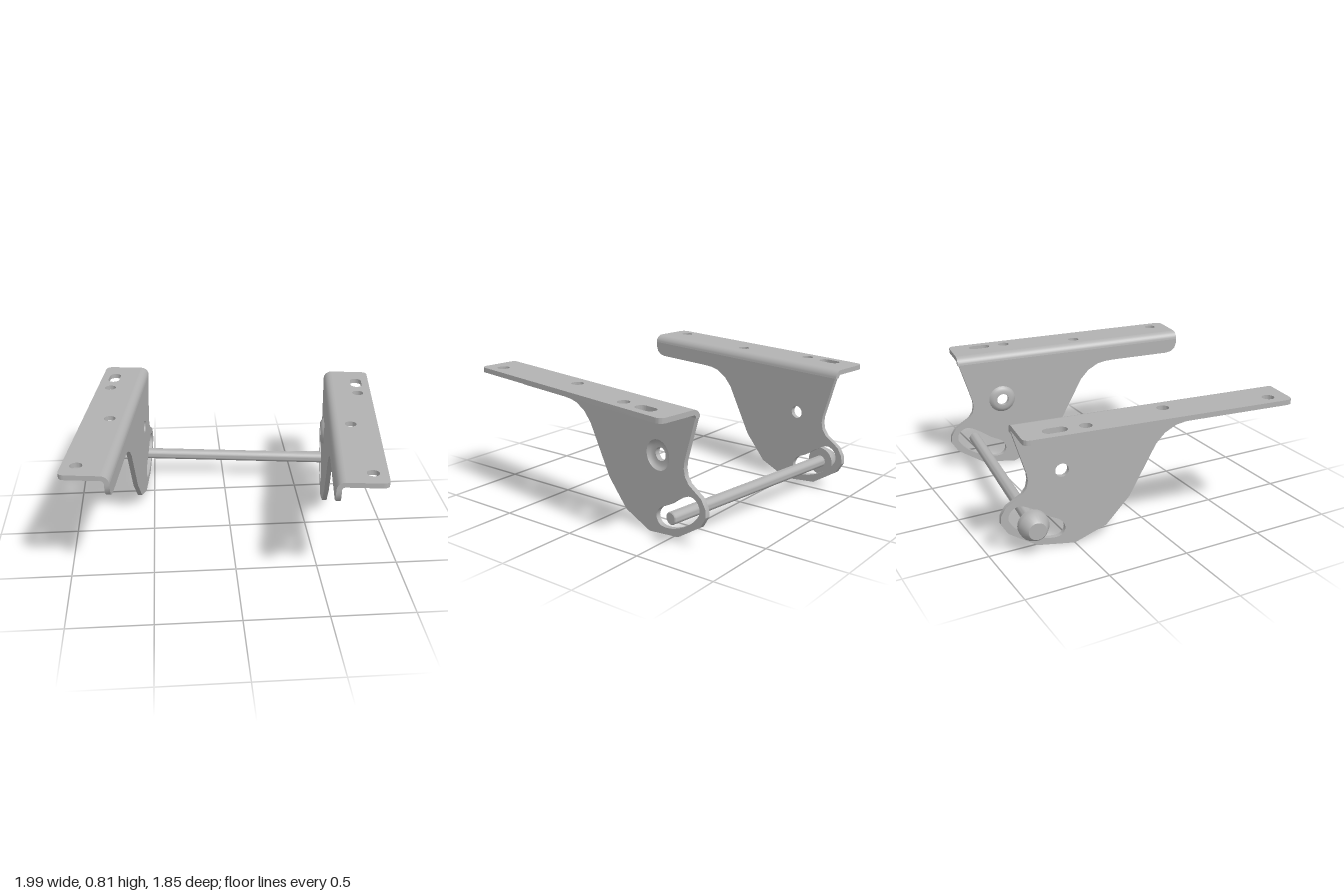
import * as THREE from 'three';
import { toCreasedNormals } from 'three/addons/utils/BufferGeometryUtils.js';

const steel = new THREE.MeshStandardMaterial({ color: 0xb2b2b2 });
steel.name = 'brushed steel';

const T = 0.03;        // sheet thickness
const INNER = 0.615;   // inner face of the upright plates
const TOP = 0.8;       // top of the flanges
const R = 0.05;        // outer bend radius
const FRONT = 0.822, BACK = -0.775;
const BOSS = [-0.488, 0.479]; // pivot hole (z, y)

const v2 = (list) => list.map(([a, b]) => new THREE.Vector2(a, b));

function mesh(name, geometry) {
  const m = new THREE.Mesh(toCreasedNormals(geometry, 0.6), steel);
  m.name = name;
  return m;
}

function extrude(shape, depth) {
  return new THREE.ExtrudeGeometry(shape, { depth, bevelEnabled: false, curveSegments: 16 });
}

function circle(x, y, r) {
  const p = new THREE.Path();
  p.absarc(x, y, r, 0, Math.PI * 2);
  return p;
}

// Upright plate outline (z, y), starting at the top front corner
const plateOutline = [
  [FRONT, TOP - R], [FRONT, 0.725], [0.808, 0.685], [0.782, 0.664], [0.745, 0.656],
  [0.33, 0.656], [0.27, 0.653], [0.213, 0.642], [0.142, 0.603], [0.087, 0.544],
  [-0.08, 0.241], [-0.226, 0.083], [-0.422, 0.006], [-0.649, 0.037], [-0.815, 0.145],
  [-0.856, 0.212], [-0.851, 0.26], [-0.82, 0.31], [-0.725, 0.368], [-0.698, 0.405],
  [-0.688, 0.45], [-0.692, 0.49], [-0.768, TOP - R],
];

// Curved adjustment slot (z, y)
const slotPoints = [
  [-0.478, 0.118], [-0.505, 0.17], [-0.579, 0.21], [-0.669, 0.272], [-0.745, 0.303],
  [-0.795, 0.278], [-0.81, 0.228], [-0.77, 0.166], [-0.669, 0.098], [-0.569, 0.067], [-0.503, 0.074],
];

function uprightPlate(side) {
  const shape = new THREE.Shape(v2(plateOutline));
  const curve = new THREE.CatmullRomCurve3(
    slotPoints.map(([z, y]) => new THREE.Vector3(z, y, 0)), true);
  const slot = curve.getPoints(44).slice(0, -1).map((p) => new THREE.Vector2(p.x, p.y));
  shape.holes.push(new THREE.Path(slot));
  shape.holes.push(circle(...BOSS, side > 0 ? 0.09 : 0.04));
  const g = extrude(shape, T).rotateY(-Math.PI / 2);
  g.translate(side > 0 ? INNER + T : -INNER, 0, 0);
  return mesh('uprightPlate', g);
}

function flange(side) {
  const a = INNER + R, b = 0.905, c = 0.045;
  // Corners rounded on the outer edge only; shape y is -z
  const s = new THREE.Shape();
  s.moveTo(side * a, -FRONT);
  s.lineTo(side * (b - c), -FRONT);
  s.quadraticCurveTo(side * b, -FRONT, side * b, -FRONT + c);
  s.lineTo(side * b, -BACK - c);
  s.quadraticCurveTo(side * b, -BACK, side * (b - c), -BACK);
  s.lineTo(side * a, -BACK);
  s.closePath();
  for (const [x, z] of [[0.82, -0.405], [0.74, 0.08], [0.82, 0.706]]) {
    s.holes.push(circle(side * x, -z, 0.036));
  }
  // Elongated mounting slot
  const slot = new THREE.Path(), sx = side * 0.82, r = 0.037;
  slot.absarc(sx, 0.578 + 0.033, r, 0, Math.PI);
  slot.absarc(sx, 0.578 - 0.033, r, Math.PI, Math.PI * 2);
  slot.closePath();
  s.holes.push(slot);
  const g = extrude(s, T).rotateX(-Math.PI / 2).translate(0, TOP - T, 0);
  return mesh('mountingFlange', g);
}

// Quarter-round fold joining flange and plate
function fold(side) {
  const n = 8, pts = [];
  const arc = (r, i) => {
    const a = Math.PI / 2 + (Math.PI / 2) * (i / n);
    pts.push(new THREE.Vector2(side * (INNER + R + r * Math.cos(a)), TOP - R + r * Math.sin(a)));
  };
  for (let i = 0; i <= n; i++) arc(R, i);
  for (let i = n; i >= 0; i--) arc(R - T, i);
  const g = extrude(new THREE.Shape(pts), FRONT - BACK).translate(0, 0, BACK);
  return mesh('fold', g);
}

// Pressed dish around the pivot hole, bulging inward
function dish() {
  const profile = v2([
    [0.04, -0.022], [0.062, -0.022], [0.078, -0.014], [0.09, 0], [0.09, T],
    [0.078, 0.015], [0.062, 0.008], [0.04, 0.008], [0.04, -0.022],
  ]);
  const g = new THREE.LatheGeometry(profile, 32).rotateZ(-Math.PI / 2);
  g.translate(INNER, BOSS[1], BOSS[0]);
  return mesh('pressedDish', g);
}

function bracket(side) {
  const g = new THREE.Group();
  g.name = side > 0 ? 'leftBracket' : 'rightBracket';
  g.add(flange(side), fold(side), uprightPlate(side));
  if (side > 0) g.add(dish());
  g.rotation.x = -0.0125;
  return g;
}

// Cross rod with a tapered head, turned about its long axis
function crossRod() {
  const g = new THREE.Group();
  g.name = 'crossRod';
  const end = 0.727;
  const rod = v2([[0, -0.7], [0.037, -0.7], [0.037, end - 0.005], [0.032, end], [0, end]]);
  const head = v2([
    [0, -0.745], [0.052, -0.745], [0.06, -0.738], [0.088, -0.685],
    [0.09, -0.665], [0.09, -0.646], [0, -0.646],
  ]);
  for (const [name, profile] of [['rod', rod], ['rodHead', head]]) {
    g.add(mesh(name, new THREE.LatheGeometry(profile, 28).rotateZ(-Math.PI / 2)));
  }
  g.position.set(0, 0.171, -0.675);
  return g;
}

export function createModel() {
  const model = new THREE.Group();
  model.name = 'bracketPair';
  const assembly = new THREE.Group();
  assembly.name = 'assembly';
  assembly.add(bracket(1), bracket(-1), crossRod());
  assembly.rotation.y = -0.1257;
  model.add(assembly);
  return model;
}
